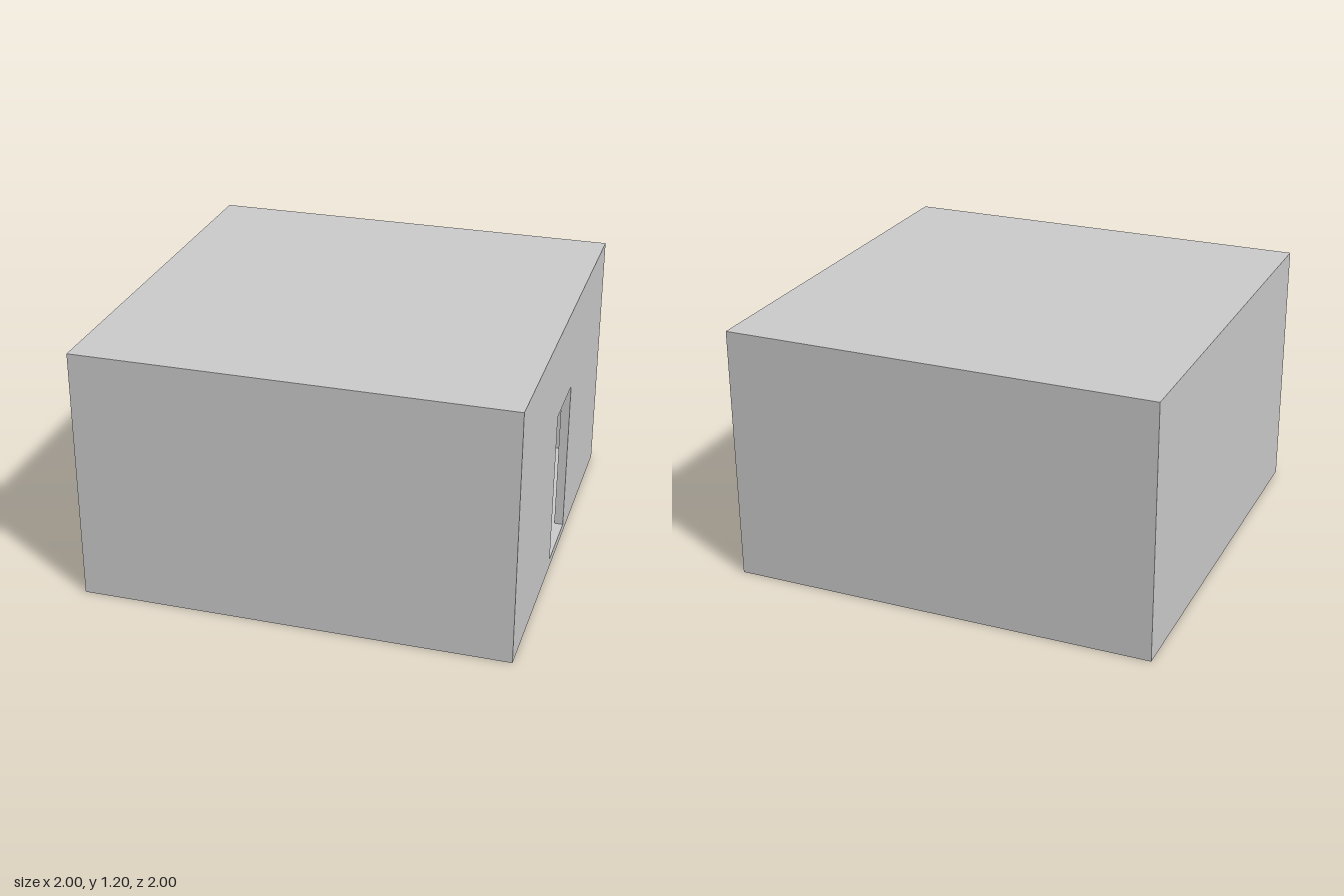
import * as THREE from 'three';

const W = 2, H = 1.2, T = 0.042;          // outer width, height, wall thickness
const DOOR_W = 0.336, DOOR_TOP = 0.787;   // doorway, its sill level with the floor

const material = new THREE.MeshStandardMaterial({ color: 0xcccccc });

// Box without the listed faces (0 +x, 1 -x, 2 +y, 3 -y, 4 +z, 5 -z), optionally facing inward
function openBox(w, h, d, omit, inward) {
  const g = new THREE.BoxGeometry(w, h, d);
  let index = Array.from(g.index.array).filter((_, i) => !omit.includes(Math.floor(i / 6)));
  if (inward) {
    index.reverse();
    g.attributes.normal.array.forEach((n, i, a) => { a[i] = -n; });
  }
  g.setIndex(index);
  g.clearGroups();
  return g;
}

// Rectangle in the z-y plane pierced by the doorway, facing +x or -x
function doorFace(width, bottom, top, facing) {
  const rect = (C, w, y0, y1) => {
    const p = new C();
    p.moveTo(-w / 2, y0).lineTo(w / 2, y0).lineTo(w / 2, y1).lineTo(-w / 2, y1).closePath();
    return p;
  };
  const shape = rect(THREE.Shape, width, bottom, top);
  // On the inside the doorway reaches the floor, so it is part of the outline
  if (bottom >= T) {
    shape.setFromPoints([
      [-width / 2, bottom], [-DOOR_W / 2, bottom], [-DOOR_W / 2, DOOR_TOP], [DOOR_W / 2, DOOR_TOP],
      [DOOR_W / 2, bottom], [width / 2, bottom], [width / 2, top], [-width / 2, top],
    ].map(([x, y]) => new THREE.Vector2(x, y)));
  } else {
    shape.holes.push(rect(THREE.Path, DOOR_W, T, DOOR_TOP));
  }
  return new THREE.ShapeGeometry(shape).rotateY(facing * Math.PI / 2);
}

export function createModel() {
  const room = new THREE.Group();
  room.name = 'room';
  const add = (name, geometry, x, y) => {
    const mesh = new THREE.Mesh(geometry, material);
    mesh.name = name;
    mesh.position.set(x, y, 0);
    room.add(mesh);
  };

  // Outside and inside of the shell, each open on the doorway side
  add('outerShell', openBox(W, H, W, [0], false), 0, H / 2);
  add('innerShell', openBox(W - 2 * T, H - 2 * T, W - 2 * T, [0], true), 0, H / 2);

  // Wall with the doorway
  add('doorWallOutside', doorFace(W, 0, H, 1), W / 2, 0);
  add('doorWallInside', doorFace(W - 2 * T, T, H - T, -1), W / 2 - T, 0);

  // Jambs, lintel and sill through the wall
  add('doorFrame', openBox(T, DOOR_TOP - T, DOOR_W, [0, 1], true), W / 2 - T / 2, (DOOR_TOP + T) / 2);

  return room;
}
